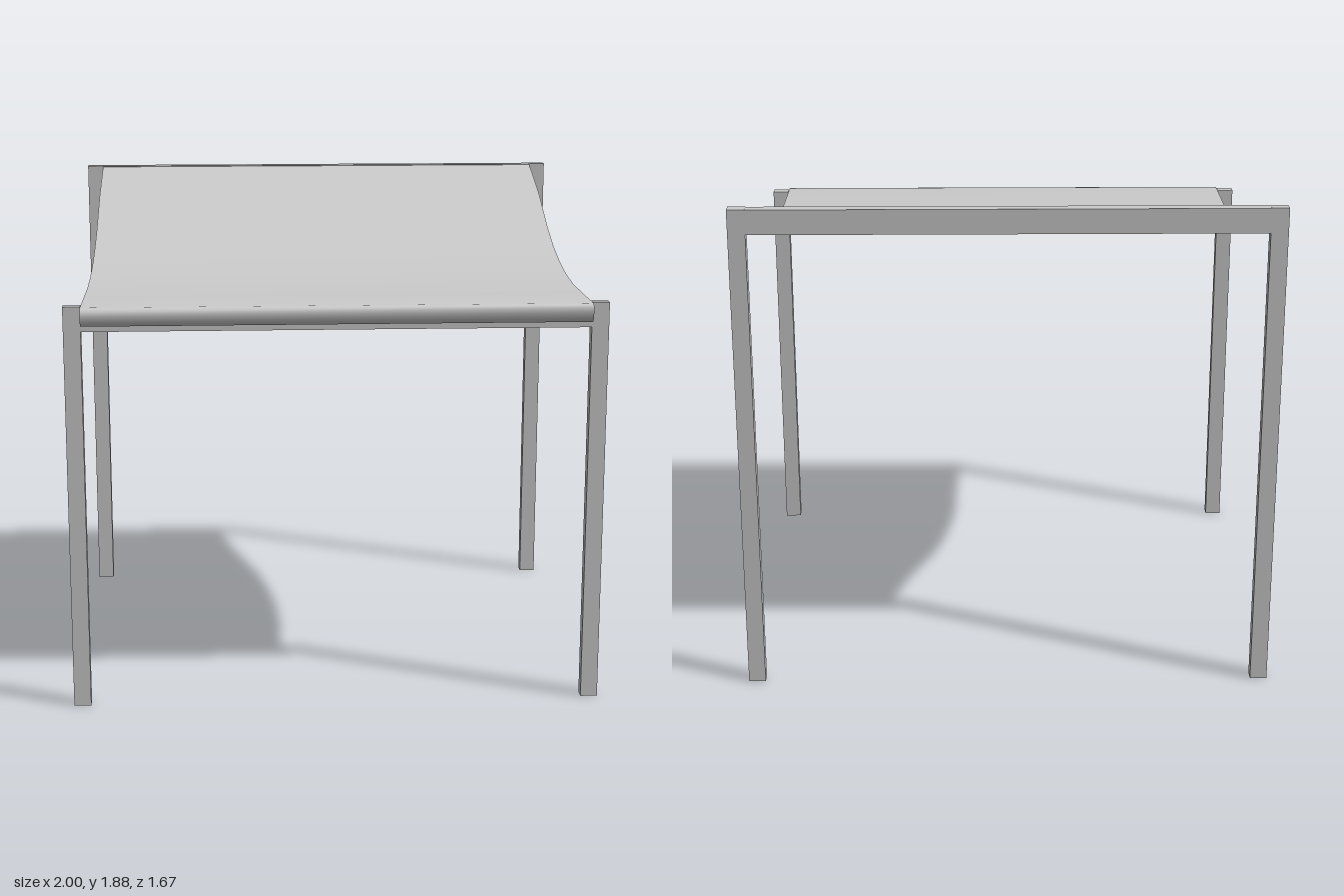
import * as THREE from 'three';
import { toCreasedNormals } from 'three/addons/utils/BufferGeometryUtils.js';

const material = new THREE.MeshStandardMaterial({ color: 0xcccccc });

// Arch of two legs and a crossbar, cut from one flat bar
function frame(name, height, z, depth, barTop) {
  const outer = 1, inner = 0.936, under = height - 0.093;
  const outline = [
    [-outer, 0], [-inner, 0], [-inner, under], [inner, under], [inner, 0], [outer, 0],
    [outer, height], [inner, height], [inner, barTop], [-inner, barTop], [-inner, height], [-outer, height],
  ];
  const shape = new THREE.Shape(outline.map(([x, y]) => new THREE.Vector2(x, y)));
  const geometry = new THREE.ExtrudeGeometry(shape, { depth, bevelEnabled: false });
  const mesh = new THREE.Mesh(geometry, material);
  mesh.name = name;
  mesh.position.z = z;
  return mesh;
}

// Curved seat sheet, its front edge rolled down over the front crossbar
function seatSheet() {
  const width = 1.87;
  const top = [
    [-0.79, 1.873], [-0.65, 1.829], [-0.5, 1.78], [-0.37, 1.722], [-0.245, 1.666], [-0.09, 1.612],
    [0.07, 1.572], [0.23, 1.547], [0.4, 1.535], [0.6, 1.535], [0.81, 1.535],
  ];
  const lip = [
    [0.825, 1.532], [0.832, 1.522], [0.833, 1.505], [0.827, 1.48], [0.817, 1.467],
    [0.806, 1.467], [0.798, 1.49], [0.792, 1.512],
  ];
  const bottom = [
    [0.6, 1.512], [0.4, 1.511], [0.225, 1.522], [0.065, 1.547], [-0.1, 1.587],
    [-0.255, 1.641], [-0.38, 1.697], [-0.51, 1.757], [-0.65, 1.805], [-0.79, 1.85],
  ];
  // Profile is drawn in (-z, y), extruded, then turned across the width
  const shape = new THREE.Shape([...top, ...lip, ...bottom].map(([z, y]) => new THREE.Vector2(-z, y)));
  let geometry = new THREE.ExtrudeGeometry(shape, { depth: width, bevelEnabled: false });
  geometry.translate(0, 0, -width / 2);
  geometry.rotateY(Math.PI / 2);
  geometry = toCreasedNormals(geometry, 0.8);
  const mesh = new THREE.Mesh(geometry, material);
  mesh.name = 'seatSheet';
  return mesh;
}

export function createModel() {
  const model = new THREE.Group();
  model.name = 'slingSeat';
  model.add(
    frame('frontFrame', 1.535, 0.747, 0.043, 1.515),
    frame('rearFrame', 1.877, -0.833, 0.045, 1.876),
    seatSheet(),
  );
  return model;
}
